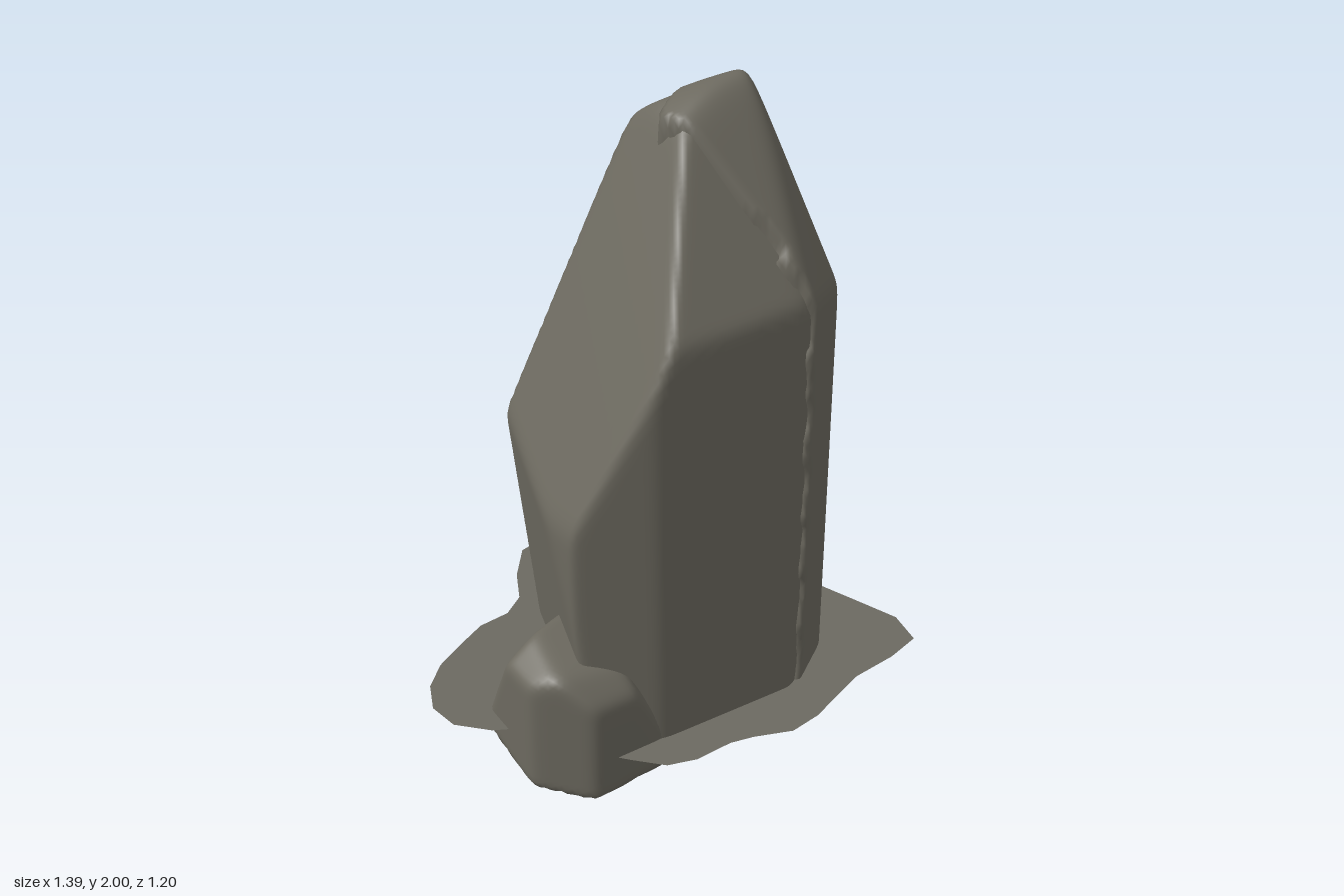
import * as THREE from 'three';
import { mergeVertices } from 'three/addons/utils/BufferGeometryUtils.js';

const V = (a) => new THREE.Vector3(...a);
// Cutting plane through three points, optionally pushed inwards
const cut = (a, b, c, inset = 0) => ({ plane: new THREE.Plane().setFromCoplanarPoints(V(a), V(b), V(c)), inset });
// Cutting plane from an outward normal and a point
const face = (n, p) => ({ plane: new THREE.Plane().setFromNormalAndCoplanarPoint(V(n).normalize(), V(p)), inset: 0 });
const jagged = (c) => ({ ...c, jag: true });

// Rock: a sphere pushed out from its centre until it meets softly blended cutting planes
function rock(name, centre, cuts, stretch, detail, sharpness, material) {
  const c = V(centre);
  const sides = cuts.map(({ plane, inset, jag }) => {
    const d = plane.distanceToPoint(c);
    return { n: plane.normal.clone().multiplyScalar(d > 0 ? -1 : 1), d: Math.abs(d) - inset, jag };
  });
  const ball = new THREE.IcosahedronGeometry(1, detail);
  ball.deleteAttribute('uv');
  ball.deleteAttribute('normal');
  const geo = mergeVertices(ball, 1e-5);
  const pos = geo.attributes.position;
  const u = new THREE.Vector3();
  for (let i = 0; i < pos.count; i++) {
    u.fromBufferAttribute(pos, i);
    const chip = 1 + 0.04 * Math.round(Math.sin(u.y * 31) + 0.5 * Math.sin(u.y * 67));
    u.y *= stretch;
    u.normalize();
    const k = sides.map((s) => Math.max(0, u.dot(s.n)) / (s.d * (s.jag ? chip : 1)));
    const top = Math.max(...k);
    const sum = k.reduce((t, v) => t + Math.pow(v / top, sharpness), 0);
    u.multiplyScalar(1 / (top * Math.pow(sum, 1 / sharpness))).add(c);
    pos.setXYZ(i, u.x, u.y, u.z);
  }
  geo.computeVertexNormals();
  const mesh = new THREE.Mesh(geo, material);
  mesh.name = name;
  return mesh;
}

export function createModel() {
  const group = new THREE.Group();
  group.name = 'standingRock';
  const stone = new THREE.MeshStandardMaterial({ color: 0x6c695f });
  stone.name = 'warm grey stone';
  const ground = new THREE.MeshStandardMaterial({ color: 0x6b6961, side: THREE.DoubleSide });
  ground.name = 'grey ground';

  // Underside facets, shared by both halves of the tall rock
  const underside = [
    cut([0.1, -0.01, 0.14], [0.3, -0.01, 0.14], [0.1, 0.15, 0.42]),
    cut([0, -0.01, 0], [1, -0.01, 0], [0, 0.13, -0.28]),
    cut([0.1, -0.01, 0], [0.1, -0.01, 1], [-0.25, 0.06, 0]),
    cut([-0.25, 0.06, 0], [-0.25, 0.06, 1], [-0.38, 0.17, 0]),
    cut([0.15, -0.01, 0], [0.15, -0.01, 1], [0.48, 0.13, 0]),
    face([0, -1, 0], [0, -0.01, 0]),
  ];
  // Right-hand and crown facets, slightly sunk on the main body
  const rightSide = (inset) => [
    cut([0.46, 0, -0.08], [0.46, 1.1, -0.08], [0.488, 0.5, 0.2], inset),
    cut([0.46, 1.1, -0.08], [0.488, 1.1, 0.2], [0.445, 1.58, 0.05], inset),
    cut([0.44, 1.58, -0.05], [0.45, 1.58, 0.1], [0.305, 2.0, 0.02], inset),
    cut([0.46, 1.5, 0.15], [0.41, 1.5, 0.29], [0.32, 1.85, 0.15], inset),
    cut([0.41, 1.5, 0.31], [0.25, 1.52, 0.43], [0.27, 1.87, 0.19], inset),
    cut([0.25, 0.2, 0.445], [0.25, 1.4, 0.44], [0.42, 0.8, 0.325], inset),
    cut([0.42, 0.2, 0.33], [0.42, 1.4, 0.31], [0.487, 0.8, 0.225], inset),
    cut([0.1, 2.02, 0.03], [0.3, 2.02, 0.03], [0.2, 1.9, -0.125], inset),
    cut([0.04, 1.95, 0], [0.04, 1.95, 1], [0.2, 2.03, 0], inset),
    face([0, 1, 0], [0.2, 2.025 - inset, 0]),
  ];

  group.add(rock('mainRock', [0.03, 0.8, 0.07], [
    ...underside, ...rightSide(0.015),
    cut([-0.2, 0.2, -0.29], [0, 1.85, -0.135], [0.28, 0.2, -0.2]),
    cut([0.29, 0.2, -0.2], [0.29, 1.7, -0.13], [0.36, 0.6, -0.09]),
    cut([-0.2, 0.2, -0.285], [-0.33, 1, -0.195], [-0.08, 1.77, -0.135]),
    cut([-0.2, 0.2, -0.285], [-0.33, 1, -0.195], [-0.42, 0.6, 0.3]),
    face([-1, 0, 0], [-0.425, 0, 0]),
    cut([-0.41, 0.98, 0.3], [-0.335, 1.07, -0.19], [0.02, 1.88, 0.1]),
    cut([-0.18, 1.48, 0.415], [-0.01, 1.81, 0.2], [0.2, 1.52, 0.41]),
    cut([-0.2, 0.2, 0.43], [0.25, 0.2, 0.44], [0.25, 1.4, 0.43]),
    cut([-0.42, 0.2, 0.31], [-0.42, 1, 0.31], [-0.2, 0.6, 0.435]),
  ], 2.2, 40, 65, stone));

  // Taller slab split off along a jagged crack
  group.add(rock('rightSlab', [0.33, 0.8, 0.12], [
    ...underside, ...rightSide(0),
    cut([0.28, 0.2, -0.13], [0.28, 1.7, -0.13], [0.46, 0.6, -0.085]),
    cut([0.2, 2.02, 0.07], [0.3, 2.02, 0.07], [0.2, 1.57, 0.42]),
    cut([-0.2, 0.2, 0.445], [0.25, 0.2, 0.45], [0.25, 1.4, 0.44]),
    jagged(cut([0, 1.87, 0.05], [0.22, 1.4, 0.4], [0.26, 0.2, 0.42])),
    jagged(cut([0, 1.9, 0.04], [0.22, 1.8, -0.1], [0.35, 0.2, -0.15])),
  ], 3, 40, 50, stone));

  // Boulders leaning on the foot
  group.add(rock('largeBoulder', [-0.38, 0.32, 0.2], [
    face([-1, 0, 0], [-0.557, 0, 0]), face([1, 0, 0], [-0.19, 0, 0]),
    face([0.1, -1, -0.15], [-0.38, 0.143, 0.2]), face([0.05, 1, 0.15], [-0.42, 0.545, 0.15]),
    face([0, 0, 1], [0, 0, 0.425]), face([-0.35, 0.45, -1], [-0.46, 0.35, 0.06]),
    face([-1, 0, 0.9], [-0.53, 0.3, 0.315]), face([0.9, 0.45, 0.3], [-0.25, 0.45, 0.3]),
    face([-0.8, 1, 0], [-0.54, 0.49, 0.2]), face([0, 1, 1], [-0.4, 0.47, 0.39]),
  ], 1, 18, 24, stone));
  group.add(rock('smallBoulder', [0.42, 0.3, -0.04], [
    face([1, 0.16, 0.1], [0.538, 0.3, -0.06]), face([-1, 0, 0], [0.26, 0, 0]),
    face([0, 1, 0], [0, 0.505, 0]), face([0.05, -1, 0.1], [0.5, 0.155, -0.05]),
    face([0.26, 0.25, -1], [0.5, 0.3, -0.115]), face([0.3, 0.22, 1], [0.5, 0.3, 0.075]),
    face([0, 0.75, 0.7], [0.45, 0.47, 0.03]), face([1, 1, 0], [0.52, 0.45, -0.05]),
  ], 1, 16, 35, stone));

  // Flat ground patch: outline as x, z pairs
  const outline = [
    [-0.1, -0.57], [0.02, -0.6], [0.15, -0.595], [0.27, -0.6], [0.41, -0.59], [0.51, -0.52],
    [0.53, -0.375], [0.5, -0.24], [0.47, -0.15], [0.5, -0.04], [0.58, 0.055], [0.64, 0.21],
    [0.695, 0.355], [0.675, 0.465], [0.565, 0.495], [0.42, 0.51], [0.31, 0.55], [0.22, 0.585],
    [0.12, 0.6], [0.01, 0.56], [-0.06, 0.545], [-0.175, 0.55], [-0.26, 0.525], [-0.33, 0.455],
    [-0.38, 0.4], [-0.45, 0.27], [-0.55, 0.16], [-0.6, 0.135], [-0.68, 0.055], [-0.697, -0.04],
    [-0.66, -0.13], [-0.59, -0.2], [-0.49, -0.255], [-0.4, -0.3], [-0.3, -0.31], [-0.23, -0.36],
    [-0.18, -0.465],
  ];
  const shape = new THREE.Shape(outline.map(([x, z]) => new THREE.Vector2(x, -z)));
  const patch = new THREE.Mesh(new THREE.ShapeGeometry(shape).rotateX(-Math.PI / 2), ground);
  patch.position.y = 0.24;
  patch.name = 'groundPatch';
  group.add(patch);

  // Rest the lowest point on y = 0
  group.position.y = -new THREE.Box3().setFromObject(group).min.y;
  return group;
}
